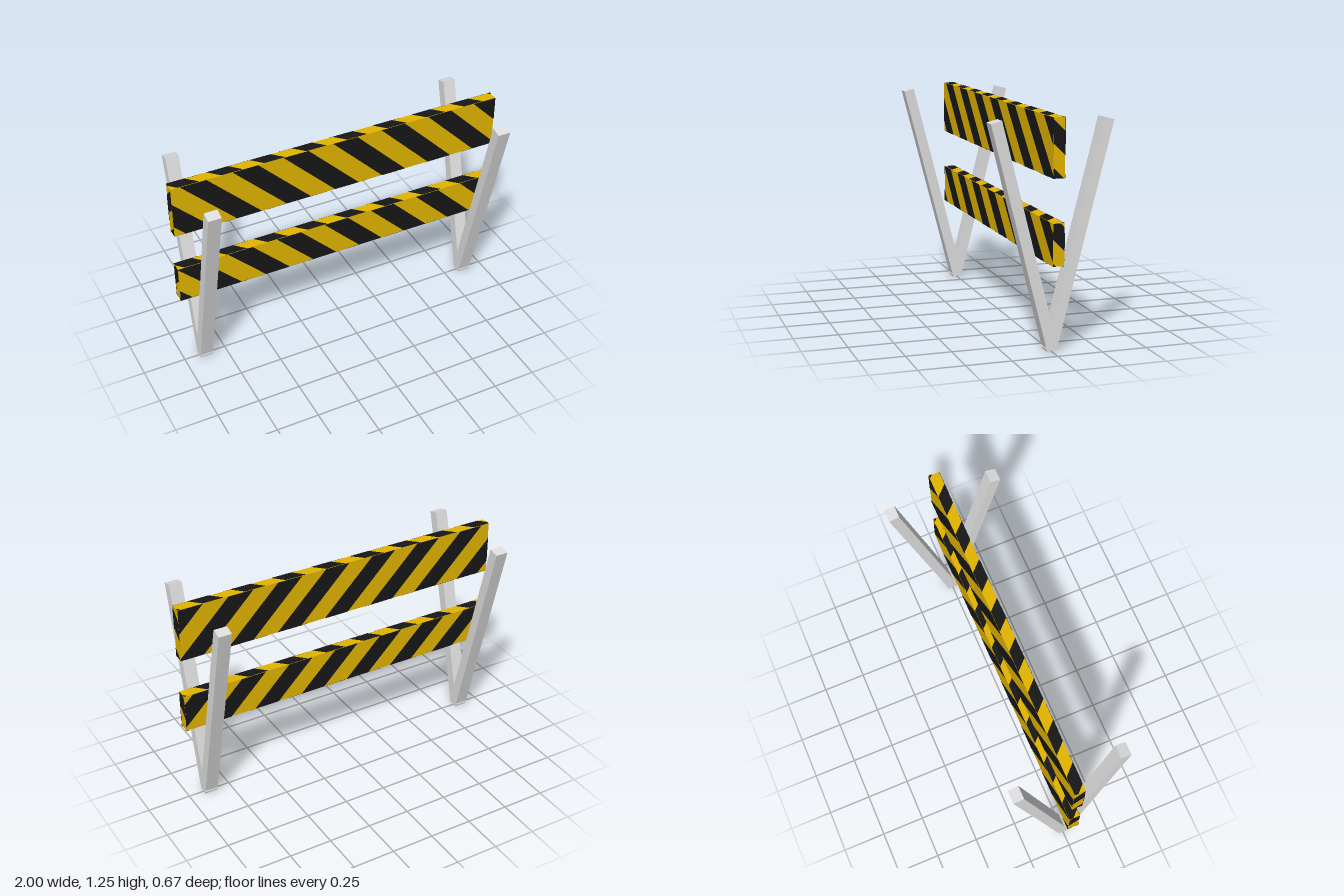
import * as THREE from 'three';

const yellow = new THREE.MeshStandardMaterial({ color: 0xe2b400 });
yellow.name = 'safety yellow';
const black = new THREE.MeshStandardMaterial({ color: 0x171717, side: THREE.DoubleSide });
black.name = 'stripe black';
const grey = new THREE.MeshStandardMaterial({ color: 0xdedede });
grey.name = 'leg grey';

const BOARD_Z = 0.031; // half thickness of the boards
const GAP = 0.0015; // lift of the painted stripes

// Keep the part of a polygon where sign * (u + v - limit) >= 0
function clip(points, limit, sign) {
  const out = [];
  const side = (p) => sign * (p.x + p.y - limit);
  points.forEach((p, i) => {
    const q = points[(i + 1) % points.length];
    const a = side(p), b = side(q);
    if (a >= 0) out.push(p);
    if (a * b < 0) out.push(p.clone().lerp(q, a / (a - b)));
  });
  return out;
}

// Diagonal stripes cut to the rectangle u0..u1, v0..v1
function stripes(u0, u1, v0, v1, phase, period) {
  const rect = [[u0, v0], [u1, v0], [u1, v1], [u0, v1]].map(([u, v]) => new THREE.Vector2(u, v));
  const shapes = [];
  const first = Math.floor((u0 + v0 - phase) / period);
  for (let k = first; phase + k * period < u1 + v1; k++) {
    const start = phase + k * period;
    const poly = clip(clip(rect, start, 1), start + period / 2, -1);
    if (poly.length > 2) shapes.push(new THREE.Shape(poly));
  }
  return new THREE.ShapeGeometry(shapes);
}

function add(parent, name, geometry, material) {
  const mesh = new THREE.Mesh(geometry, material);
  mesh.name = name;
  parent.add(mesh);
  return mesh;
}

// Board with stripes wrapped over all six faces
function board(name, y0, y1) {
  const group = new THREE.Group();
  group.name = name;
  const plank = add(group, 'plank', new THREE.BoxGeometry(2 - 2 * GAP, y1 - y0, 2 * BOARD_Z), yellow);
  plank.position.y = (y0 + y1) / 2;

  const face = stripes(-1, 1, y0, y1, 0, 0.3);
  const edge = stripes(-1, 1, -BOARD_Z, BOARD_Z, 0.01, 0.25);
  const end = stripes(-BOARD_Z, BOARD_Z, y0, y1, 0.093, 0.2475);
  for (const s of [1, -1]) {
    add(group, s > 0 ? 'frontStripes' : 'backStripes', face, black).position.z = s * (BOARD_Z + GAP);
    const rim = add(group, s > 0 ? 'topStripes' : 'bottomStripes', edge, black);
    rim.rotation.x = -Math.PI / 2;
    rim.position.y = s > 0 ? y1 + GAP : y0 - GAP;
    const cap = add(group, s > 0 ? 'leftEndStripes' : 'rightEndStripes', end, black);
    cap.rotation.y = Math.PI / 2;
    cap.position.x = s;
  }
  return group;
}

// Pair of leaning bars meeting at the foot
function legPair(name, x) {
  const group = new THREE.Group();
  group.name = name;
  for (const s of [1, -1]) {
    const bar = add(group, s > 0 ? 'frontLeg' : 'backLeg', new THREE.BoxGeometry(0.076, 1.252, 0.061), grey);
    bar.position.set(0, 0.6143, s * 0.1505);
    bar.rotation.x = s * Math.atan2(0.309, 1.2125);
  }
  group.position.x = x;
  return group;
}

export function createModel() {
  const model = new THREE.Group();
  model.name = 'roadBarrier';
  model.add(
    board('upperBoard', 0.935, 1.246),
    board('lowerBoard', 0.478, 0.703),
    legPair('leftLegs', 0.873),
    legPair('rightLegs', -0.873)
  );
  return model;
}
